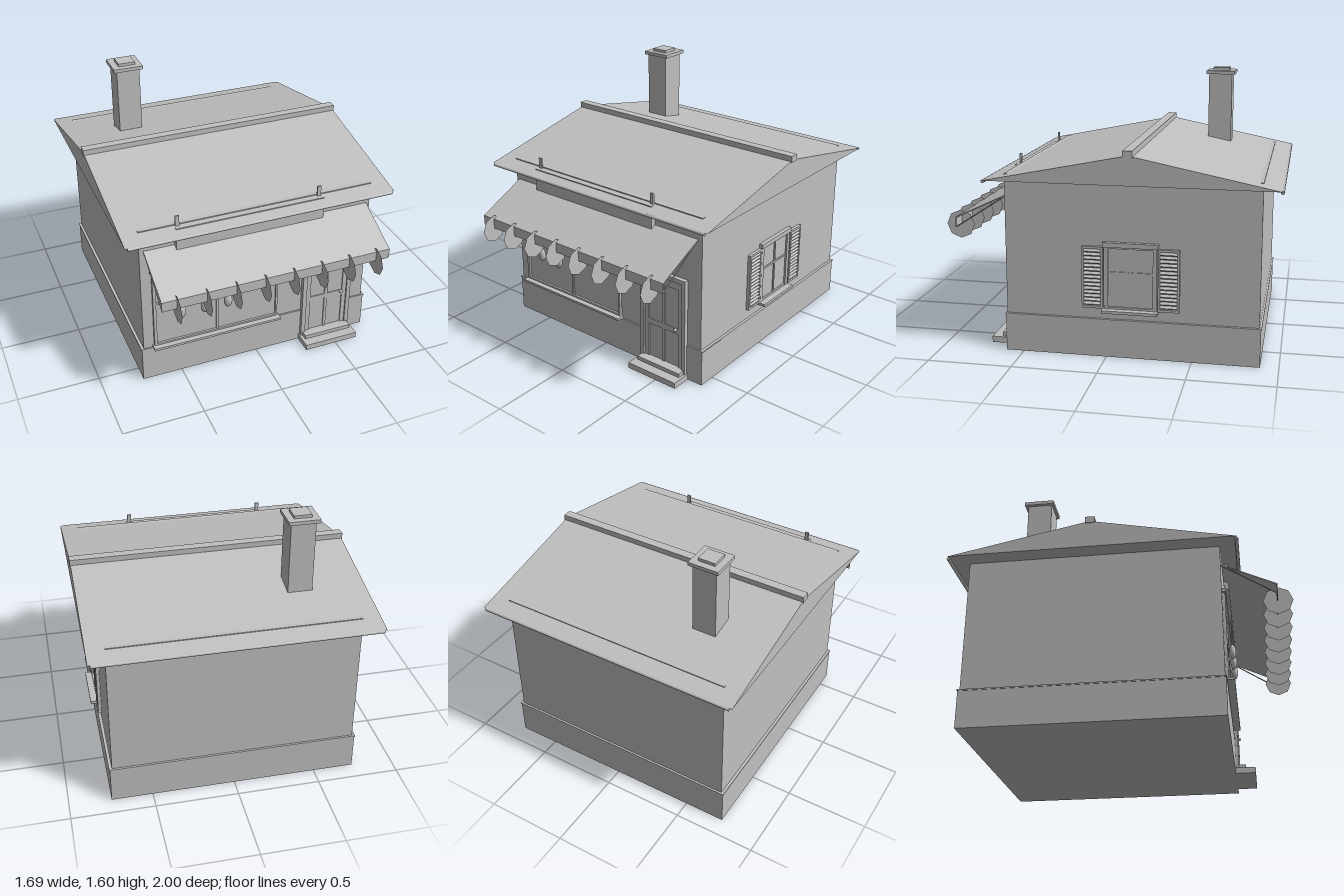
import * as THREE from 'three';

const plaster = new THREE.MeshStandardMaterial({ color: 0xc0c0c0 });
plaster.name = 'plain grey';
const cloth = new THREE.MeshStandardMaterial({ color: 0xc0c0c0, side: THREE.DoubleSide });
cloth.name = 'plain grey cloth';

export function createModel() {
  const root = new THREE.Group();
  root.name = 'cornerShop';

  function add(parent, name, geometry, material = plaster) {
    const mesh = new THREE.Mesh(geometry, material);
    mesh.name = name;
    parent.add(mesh);
    return mesh;
  }
  // Box given by its limits on each axis
  function box(parent, name, x0, x1, y0, y1, z0, z1) {
    const mesh = add(parent, name, new THREE.BoxGeometry(x1 - x0, y1 - y0, z1 - z0));
    mesh.position.set((x0 + x1) / 2, (y0 + y1) / 2, (z0 + z1) / 2);
    return mesh;
  }
  // Round bar between two points
  function rod(parent, name, a, b, radius, sides = 6) {
    const from = new THREE.Vector3(...a), to = new THREE.Vector3(...b);
    const dir = to.clone().sub(from);
    const mesh = add(parent, name, new THREE.CylinderGeometry(radius, radius, dir.length(), sides));
    mesh.position.copy(from).add(to).multiplyScalar(0.5);
    mesh.quaternion.setFromUnitVectors(new THREE.Vector3(0, 1, 0), dir.normalize());
    return mesh;
  }
  function group(name) {
    const g = new THREE.Group();
    g.name = name;
    root.add(g);
    return g;
  }

  // Walls and plinth
  box(root, 'walls', -0.735, 0.735, 0.1, 1.068, -0.885, 0.6);
  box(root, 'plinth', -0.748, 0.748, 0, 0.222, -0.893, 0.606);
  box(root, 'plinthTrim', -0.752, 0.752, 0.222, 0.23, -0.897, 0.609);

  // Roof: a solid gabled prism with a flat soffit
  const gable = new THREE.Shape([
    new THREE.Vector2(-0.7, 1.042), new THREE.Vector2(0.99, 1.042), new THREE.Vector2(0.145, 1.212),
  ]);
  const roof = add(root, 'roof', new THREE.ExtrudeGeometry(gable, { depth: 1.68, bevelEnabled: false }));
  roof.rotation.y = Math.PI / 2;
  roof.position.x = -0.84;
  box(root, 'ridgeCap', -0.845, 0.845, 1.2, 1.24, -0.173, -0.117);
  for (const z of [0.7, -0.99]) rod(root, 'gutter', [-0.825, 1.034, z], [0.825, 1.034, z], 0.01, 8);

  // Chimney
  const chimney = group('chimney');
  box(chimney, 'chimneyStack', -0.518, -0.37, 1.1, 1.56, -0.605, -0.455);
  box(chimney, 'chimneyCap', -0.538, -0.351, 1.56, 1.582, -0.625, -0.44);
  box(chimney, 'chimneyPot', -0.497, -0.391, 1.582, 1.6, -0.585, -0.48);

  // Blank fascia board with two hangers
  const fascia = group('fascia');
  box(fascia, 'fasciaBoard', -0.523, 0.403, 0.87, 1.06, 0.607, 0.638);
  for (const x of [-0.505, 0.382]) box(fascia, 'hanger', x - 0.012, x + 0.012, 1.0, 1.125, 0.6, 0.61);

  // Awning: sloping cloth, valance, side stays and hanging discs
  const awning = group('awning');
  const slope = new THREE.Shape([
    new THREE.Vector2(-0.605, 0.935), new THREE.Vector2(-0.605, 0.929), new THREE.Vector2(-0.908, 0.784),
    new THREE.Vector2(-0.908, 0.728), new THREE.Vector2(-0.914, 0.728), new THREE.Vector2(-0.914, 0.79),
  ]);
  const canopy = add(awning, 'canopy', new THREE.ExtrudeGeometry(slope, { depth: 1.42, bevelEnabled: false }));
  canopy.rotation.y = Math.PI / 2;
  canopy.position.x = -0.71;
  for (const x of [-0.706, 0.706]) rod(awning, 'stay', [x, 0.932, 0.6], [x, 0.73, 0.911], 0.004);
  for (let i = 0; i < 8; i++) {
    const disc = add(awning, 'hangingDisc', new THREE.CircleGeometry(0.086, 8), cloth);
    disc.rotation.y = Math.PI / 2;
    disc.position.set(-0.621 + i * 0.1775, 0.727, 0.914);
  }

  // Shop window
  const shop = group('shopWindow');
  box(shop, 'shopGlass', -0.655, 0.125, 0.25, 0.785, 0.596, 0.604);
  box(shop, 'jamb', -0.67, -0.652, 0.245, 0.78, 0.6, 0.617);
  box(shop, 'jamb', 0.12, 0.132, 0.245, 0.78, 0.6, 0.617);
  box(shop, 'bottomRail', -0.67, 0.132, 0.245, 0.257, 0.6, 0.617);
  box(shop, 'head', -0.68, 0.142, 0.775, 0.798, 0.6, 0.622);
  box(shop, 'mullion', -0.272, -0.26, 0.25, 0.78, 0.6, 0.613);
  box(shop, 'transom', -0.655, 0.125, 0.544, 0.556, 0.6, 0.612);
  box(shop, 'shopSill', -0.68, 0.145, 0.231, 0.246, 0.6, 0.65);

  // Hanging lanterns
  const lanterns = group('lanterns');
  for (const x of [-0.503, -0.355, -0.207]) {
    rod(lanterns, 'cord', [x, 0.68, 0.64], [x, 0.51, 0.64], 0.0035);
    const bulb = add(lanterns, 'lantern', new THREE.SphereGeometry(1, 12, 8));
    bulb.scale.set(0.027, 0.045, 0.02);
    bulb.position.set(x, 0.475, 0.64);
  }

  // Door with raised stiles and rails around four panels
  const door = group('door');
  box(door, 'doorPanel', 0.33, 0.615, 0.06, 0.63, 0.6, 0.61);
  for (const [a, b] of [[0.33, 0.362], [0.461, 0.48], [0.584, 0.615]])
    box(door, 'doorStile', a, b, 0.06, 0.628, 0.605, 0.617);
  for (const [a, b] of [[0.578, 0.628], [0.285, 0.32], [0.05, 0.062]])
    box(door, 'doorRail', 0.33, 0.615, a, b, 0.605, 0.6165);
  box(door, 'doorFrame', 0.303, 0.331, 0.037, 0.655, 0.6, 0.627);
  box(door, 'doorFrame', 0.612, 0.638, 0.037, 0.655, 0.6, 0.627);
  box(door, 'doorHead', 0.331, 0.612, 0.628, 0.655, 0.6, 0.627);
  const knob = add(door, 'doorKnob', new THREE.SphereGeometry(0.011, 10, 8));
  knob.position.set(0.57, 0.318, 0.63);
  rod(door, 'knobStem', [0.57, 0.318, 0.612], [0.57, 0.318, 0.63], 0.005);
  box(door, 'lowerStep', 0.294, 0.647, 0, 0.037, 0.59, 0.73);
  box(door, 'upperStep', 0.315, 0.63, 0.037, 0.062, 0.59, 0.67);

  // Window with louvred shutters on the left wall of the model
  const side = group('sideWindow');
  const cz = -0.143;
  box(side, 'sideGlass', 0.73, 0.74, 0.295, 0.665, cz - 0.14, cz + 0.14);
  for (const s of [-1, 1]) {
    const c = cz + s * 0.143;
    box(side, 'sideJamb', 0.73, 0.752, 0.295, 0.665, c - 0.012, c + 0.012);
  }
  box(side, 'sideMullion', 0.73, 0.747, 0.295, 0.665, cz - 0.006, cz + 0.006);
  box(side, 'sideTransom', 0.73, 0.746, 0.506, 0.518, cz - 0.135, cz + 0.135);
  box(side, 'sideTopRail', 0.73, 0.75, 0.655, 0.667, cz - 0.135, cz + 0.135);
  box(side, 'sideBottomRail', 0.73, 0.75, 0.295, 0.307, cz - 0.135, cz + 0.135);
  box(side, 'sideHead', 0.73, 0.76, 0.665, 0.693, cz - 0.162, cz + 0.162);
  box(side, 'sideSill', 0.73, 0.79, 0.278, 0.295, cz - 0.162, cz + 0.162);
  for (const s of [-1, 1]) {
    const c = cz + s * 0.223;
    box(side, 'shutterBack', 0.73, 0.74, 0.295, 0.662, c - 0.061, c + 0.061);
    for (const e of [-1, 1])
      box(side, 'shutterStile', 0.735, 0.755, 0.295, 0.664, c + e * 0.056 - 0.006, c + e * 0.056 + 0.006);
    for (const y of [0.295, 0.65])
      box(side, 'shutterRail', 0.735, 0.754, y, y + 0.014, c - 0.052, c + 0.052);
    for (let i = 0; i < 15; i++) {
      const y = 0.322 + i * 0.0226;
      const slat = box(side, 'slat', 0.736, 0.756, y - 0.004, y + 0.004, c - 0.052, c + 0.052);
      slat.rotation.z = -0.6;
    }
  }
  return root;
}
